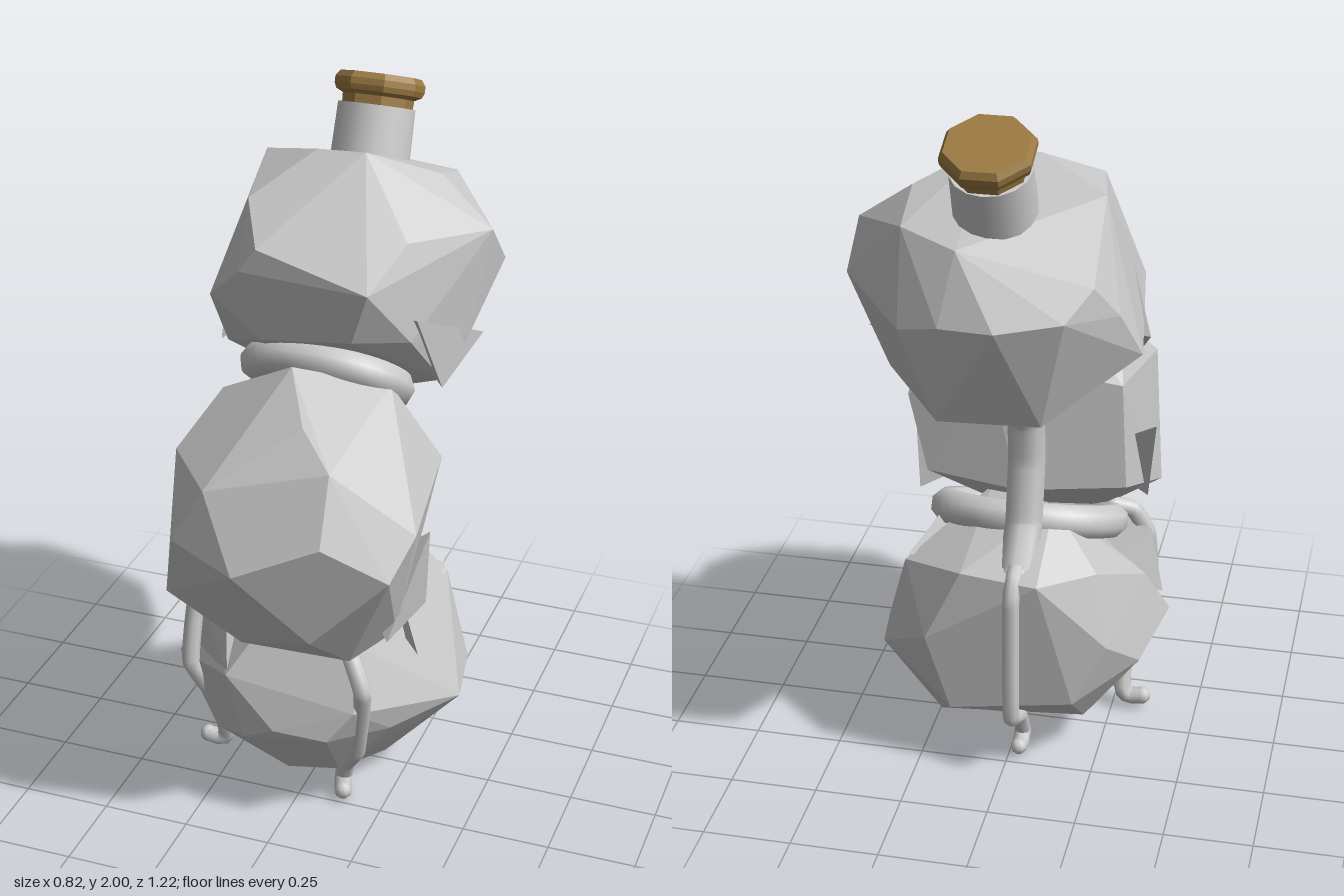
import * as THREE from 'three';
import { ConvexGeometry } from 'three/addons/geometries/ConvexGeometry.js';

const mat = (name, color) => {
  const m = new THREE.MeshStandardMaterial({ color });
  m.name = name;
  return m;
};
const vec = (p) => new THREE.Vector3(...p);

export function createModel() {
  const group = new THREE.Group();
  const stone = mat('stone grey', 0xc6c6c6);
  const metal = mat('light metal', 0xcccccc);
  const cork = mat('cork brown', 0x9c7a42);

  const add = (name, geometry, material, parent = group) => {
    const mesh = new THREE.Mesh(geometry, material);
    mesh.name = name;
    parent.add(mesh);
    return mesh;
  };

  // Faceted boulder: a main hull plus small jutting chips
  const rock = (name, points, chips) => {
    const g = new THREE.Group();
    g.name = name;
    add(name + 'Body', new ConvexGeometry(points.map(vec)), stone, g);
    chips.forEach((c) => add(name + 'Chip', new ConvexGeometry(c.map(vec)), stone, g));
    group.add(g);
  };

  rock('lowerRock', [
    [-0.41, 0.34, 0.14], [-0.25, 0.18, 0.25], [-0.12, 0.25, 0.37], [-0.02, 0.31, 0.40],
    [0.14, 0.31, 0.40], [0.21, 0.40, 0.37], [-0.18, 0.43, 0.35], [-0.10, 0.56, 0.27],
    [0.18, 0.56, 0.27], [0.27, 0.28, 0.23], [0.41, 0.29, 0.02], [0.38, 0.31, -0.16],
    [0.32, 0.50, -0.10], [0.31, 0.59, -0.16], [0.10, 0.75, 0.03], [-0.10, 0.76, -0.06],
    [-0.25, 0.63, -0.20], [0.12, 0.64, -0.29], [-0.10, 0.63, -0.31], [0.22, 0.43, -0.31],
    [0.15, 0.20, -0.30], [-0.20, 0.25, -0.29], [0.22, 0.07, -0.12], [-0.20, 0.09, -0.10],
    [-0.05, 0.05, 0.20], [0.12, 0.11, 0.24], [0.20, 0.07, 0.05], [-0.35, 0.50, 0.05],
    [-0.36, 0.30, -0.10], [-0.29, 0.43, -0.26], [-0.21, 0.08, 0.12],
  ], [
    [[0.32, 0.48, 0.14], [0.20, 0.72, 0.04], [0.30, 0.61, -0.17], [0.15, 0.55, 0]],
    [[-0.39, 0.40, 0.13], [-0.35, 0.59, 0.15], [-0.21, 0.59, 0.26], [-0.18, 0.43, 0.34], [-0.2, 0.5, 0]],
  ]);

  rock('middleRock', [
    [-0.05, 0.92, 0.61], [-0.17, 1.10, 0.50], [0.06, 1.26, 0.36], [0.17, 1.19, 0.46],
    [0.18, 1.02, 0.56], [-0.03, 1.35, 0.20], [0.21, 1.28, 0.08], [0.39, 1.02, 0.40],
    [0.33, 1.04, -0.01], [0.35, 0.92, 0.50], [0.14, 0.71, 0.53], [0.20, 0.58, 0.38],
    [0.30, 0.64, 0.28], [0.27, 0.82, -0.04], [-0.26, 0.94, 0.51], [-0.36, 0.71, 0.25],
    [-0.32, 0.72, 0.42], [-0.10, 0.60, 0.42], [-0.33, 1.10, 0.30], [-0.25, 1.23, 0.15],
    [-0.28, 1.12, 0.00], [-0.30, 0.82, -0.03], [-0.20, 0.63, 0.20], [0.10, 0.64, 0.14],
    [0.10, 1.18, -0.03], [0.05, 0.58, 0.30], [0.00, 0.80, -0.07],
  ], [
    [[0.30, 0.65, 0.36], [0.36, 0.91, 0.18], [0.34, 0.66, 0.14], [0.15, 0.75, 0.2]],
    [[-0.37, 0.98, 0.05], [-0.34, 0.72, 0.12], [-0.33, 0.85, 0.24], [-0.15, 0.85, 0.1]],
  ]);

  rock('upperRock', [
    [-0.08, 1.84, -0.14], [0.06, 1.85, -0.13], [0.24, 1.77, -0.25], [0.23, 1.72, -0.42],
    [0.07, 1.70, -0.50], [-0.27, 1.78, -0.25], [-0.28, 1.62, -0.48], [-0.20, 1.58, 0.15],
    [0.17, 1.57, 0.17], [0.12, 1.42, 0.15], [0.26, 1.41, 0.07], [0.40, 1.65, -0.20],
    [0.41, 1.53, -0.30], [0.36, 1.36, -0.14], [0.31, 1.25, -0.06], [-0.15, 1.38, 0.13],
    [-0.33, 1.45, 0.04], [-0.39, 1.40, -0.37], [-0.34, 1.53, -0.43], [-0.32, 1.27, -0.06],
    [-0.05, 1.53, -0.61], [0.22, 1.48, -0.52], [0.12, 1.23, -0.52], [-0.15, 1.23, -0.50],
    [0.10, 1.16, -0.37], [-0.12, 1.17, -0.35], [0.06, 1.13, -0.16], [-0.10, 1.13, -0.16],
    [0.30, 1.27, -0.30], [-0.22, 1.55, -0.56], [0.10, 1.52, -0.58],
    [0.23, 1.67, 0.02], [-0.22, 1.74, 0.02], [-0.15, 1.65, 0.15],
  ], [
    [[0.28, 1.48, 0.08], [0.38, 1.34, -0.21], [0.32, 1.24, -0.03], [0.15, 1.4, -0.1]],
    [[-0.39, 1.39, -0.24], [-0.31, 1.57, -0.10], [-0.34, 1.27, -0.06], [-0.15, 1.4, -0.2]],
  ]);

  // Bent metal tubing with rounded ends
  const tube = (name, points, r, closed = false) => {
    const pts = points.map(vec);
    const curve = new THREE.CatmullRomCurve3(pts, closed, 'catmullrom', closed ? 0.5 : 0.2);
    add(name, new THREE.TubeGeometry(curve, closed ? 40 : pts.length * 6, r, 8, closed), metal);
    if (!closed) {
      [pts[0], pts[pts.length - 1]].forEach((p) =>
        add(name + 'End', new THREE.SphereGeometry(r, 8, 6).translate(p.x, p.y, p.z), metal));
    }
  };

  // Tilted collars holding the rocks apart
  const collar = (name, rx, front, back, r) => {
    const pts = [];
    for (let i = 0; i < 16; i++) {
      const a = (i / 16) * Math.PI * 2;
      const t = (1 - Math.cos(a)) / 2;
      pts.push([
        rx * Math.sin(a),
        THREE.MathUtils.lerp(front[0], back[0], t),
        THREE.MathUtils.lerp(front[1], back[1], t),
      ]);
    }
    tube(name, pts, r, true);
  };
  collar('lowerCollar', 0.24, [0.56, 0.27], [0.73, -0.10], 0.05);
  collar('upperCollar', 0.20, [1.34, 0.12], [1.15, -0.10], 0.05);

  // Spine joining the collars behind the middle rock
  tube('spine', [[-0.03, 0.62, -0.24], [-0.03, 0.74, -0.14], [-0.03, 0.92, -0.10],
    [-0.03, 1.05, -0.11], [-0.03, 1.17, -0.17]], 0.053);

  // Three hooked legs
  tube('frontLeg', [[0.16, 0.57, 0.29], [0.19, 0.55, 0.33], [0.23, 0.46, 0.355], [0.18, 0.20, 0.26],
    [0.13, 0.11, 0.20], [0.11, 0.04, 0.17], [0.12, 0.025, 0.20], [0.13, 0.03, 0.23]], 0.026);
  tube('sideLeg', [[-0.23, 0.65, 0.17], [-0.29, 0.63, 0.19], [-0.33, 0.55, 0.20], [-0.335, 0.37, 0.235],
    [-0.28, 0.20, 0.16], [-0.28, 0.06, 0.11], [-0.30, 0.035, 0.11], [-0.34, 0.04, 0.11]], 0.026);
  tube('backLeg', [[-0.03, 0.68, -0.20], [-0.03, 0.63, -0.29], [-0.03, 0.58, -0.315], [-0.03, 0.38, -0.32],
    [-0.03, 0.20, -0.315], [-0.03, 0.13, -0.20], [-0.03, 0.05, -0.15], [-0.03, 0.025, -0.18],
    [-0.03, 0.03, -0.21]], 0.024);

  // Tilted bottle neck with its cork stopper
  const neck = new THREE.Group();
  neck.name = 'neckAndStopper';
  neck.position.set(0, 1.685, -0.32);
  neck.rotation.x = -0.38;
  group.add(neck);
  add('neck', new THREE.CylinderGeometry(0.108, 0.113, 0.25, 16).translate(0, 0.09, 0.006), metal, neck);
  const profile = [[0, 0.2], [0.098, 0.2], [0.1, 0.24], [0.12, 0.25], [0.126, 0.265], [0.126, 0.283],
    [0.114, 0.3], [0, 0.3]].map(([x, y]) => new THREE.Vector2(x, y));
  const stopper = new THREE.LatheGeometry(profile, 8).rotateY(Math.PI / 8).toNonIndexed();
  stopper.computeVertexNormals();
  add('corkStopper', stopper, cork, neck);

  return group;
}
